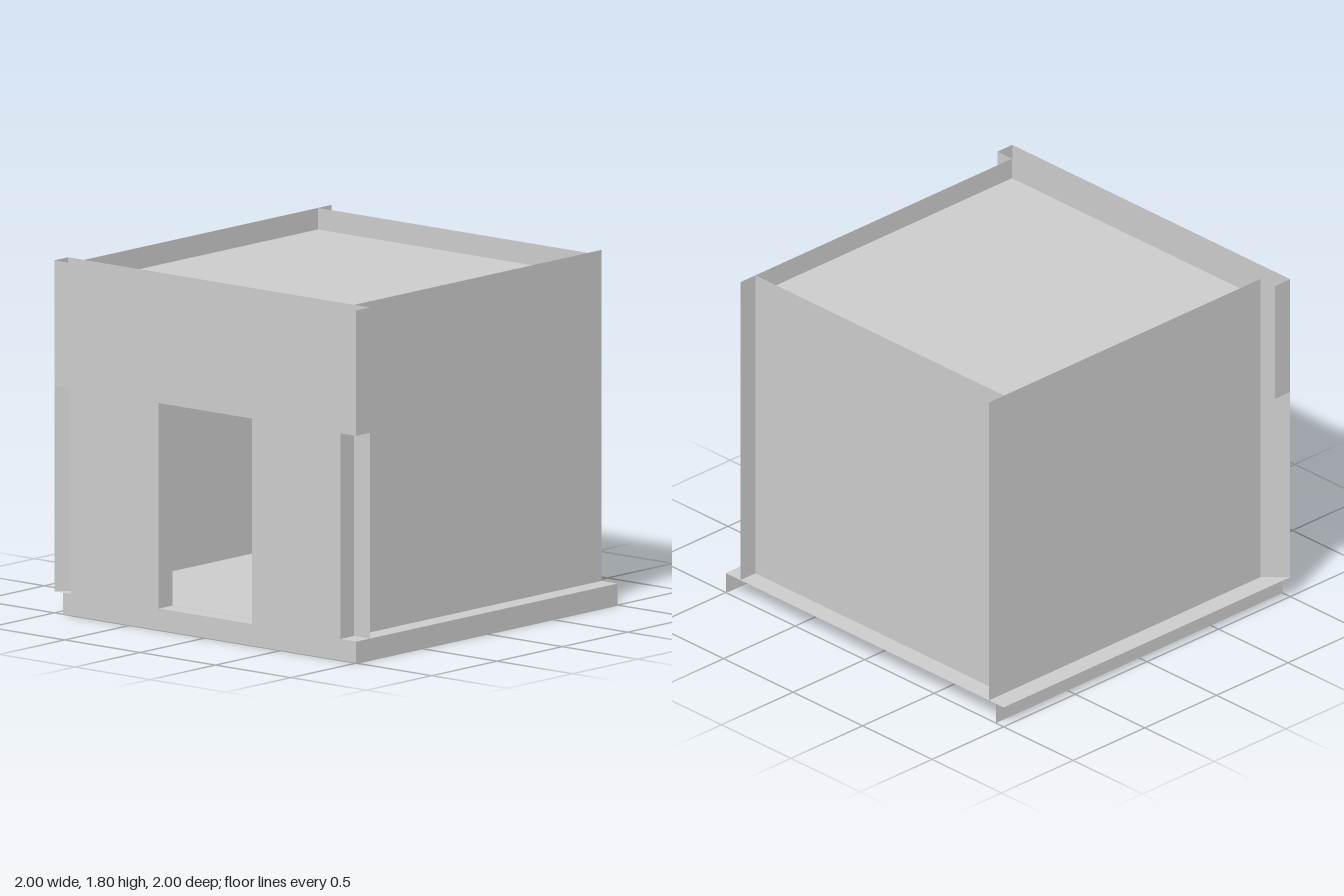
import * as THREE from 'three';

const material = new THREE.MeshStandardMaterial({ color: 0xcccccc, side: THREE.DoubleSide, flatShading: true });

const IN = 0.895;    // wall planes
const FLOOR = 0.11;  // floor level
const LINTEL = 1.16; // door head and underside of the overhang
const TOP = 1.8;
const ROOF = 1.69;
const DOOR = 0.31;   // half the door width

const rect = (u0, v0, u1, v1) => [[u0, v0], [u1, v0], [u1, v1], [u0, v1]];
const toPoints = (list) => list.map(([u, v]) => new THREE.Vector2(u, v));

export function createModel() {
  const model = new THREE.Group();
  model.name = 'room';

  // Flat sheet from an outline, with an optional hole
  function sheet(name, outline, hole) {
    const shape = new THREE.Shape(toPoints(outline));
    if (hole) shape.holes.push(new THREE.Path(toPoints(hole)));
    const mesh = new THREE.Mesh(new THREE.ShapeGeometry(shape), material);
    mesh.name = name;
    model.add(mesh);
    return mesh;
  }
  // Outline in (x, y), standing at z
  const facingZ = (name, z, outline) => { sheet(name, outline).position.z = z; };
  // Outline in (z, y), standing at x
  const facingX = (name, x, outline, hole) => {
    const m = sheet(name, outline, hole);
    m.rotation.y = -Math.PI / 2;
    m.position.x = x;
  };
  // Outline in (x, z), lying at y
  const facingY = (name, y, outline) => {
    const m = sheet(name, outline);
    m.rotation.x = Math.PI / 2;
    m.position.y = y;
  };

  // Floor, recessed roof and floor skirts
  facingY('floor', FLOOR, rect(-1, -1, 1, 1));
  facingY('roof', ROOF, rect(-IN, -IN, IN, IN));
  facingZ('frontSkirt', 1, rect(-1, 0, 1, FLOOR));
  facingZ('backSkirt', -0.945, rect(-1, 0, 1, FLOOR));

  // Front and back walls run past the side wall as fins
  const wall = [[-1, FLOOR], [1, FLOOR], [1, TOP], [-IN, TOP], [-IN, LINTEL], [-1, LINTEL]];
  facingZ('frontWall', IN, wall);
  facingZ('backWall', -IN, wall);
  facingX('sideWall', IN, rect(-IN, FLOOR, IN, TOP));

  // Door wall: outer sheet with skirt and overhang, inner sheet behind it
  const doorway = rect(-DOOR, FLOOR + 0.001, DOOR, LINTEL);
  facingX('doorWallOuter', -1, [
    [-0.945, 0], [1, 0], [1, FLOOR], [IN, FLOOR], [IN, LINTEL], [1, LINTEL], [1, TOP],
    [-1, TOP], [-1, LINTEL], [-IN, LINTEL], [-IN, FLOOR], [-0.945, FLOOR],
  ], doorway);
  facingX('doorWallInner', -IN, [
    [-IN, FLOOR], [1, FLOOR], [1, TOP], [-1, TOP], [-1, LINTEL], [-IN, LINTEL],
  ], doorway);

  // Overhang ends, undersides and door jambs, mirrored front to back
  for (const s of [1, -1]) {
    facingZ('overhangEnd', s, rect(-1, LINTEL, -IN, TOP));
    facingY('overhangUnderside', LINTEL, rect(-1, Math.min(s, s * IN), -IN, Math.max(s, s * IN)));
    facingZ('doorJamb', s * DOOR, rect(-1, FLOOR, -IN, LINTEL));
  }
  facingY('doorHead', LINTEL, rect(-1, -DOOR, -IN, DOOR));

  // Diagonal sheet at the back corner, below the overhang
  const run = 1 - IN;
  const diagonal = sheet('cornerPanel', rect(0, FLOOR, run * Math.SQRT2, LINTEL));
  diagonal.position.set(-1, 0, -1);
  diagonal.rotation.y = -Math.PI / 4;

  // Narrow ledge inside the front wall
  const ledge = new THREE.Mesh(new THREE.BoxGeometry(1.2, 0.03, 0.05), material);
  ledge.name = 'ledge';
  ledge.position.set(0, 0.63, IN - 0.026);
  model.add(ledge);

  return model;
}
